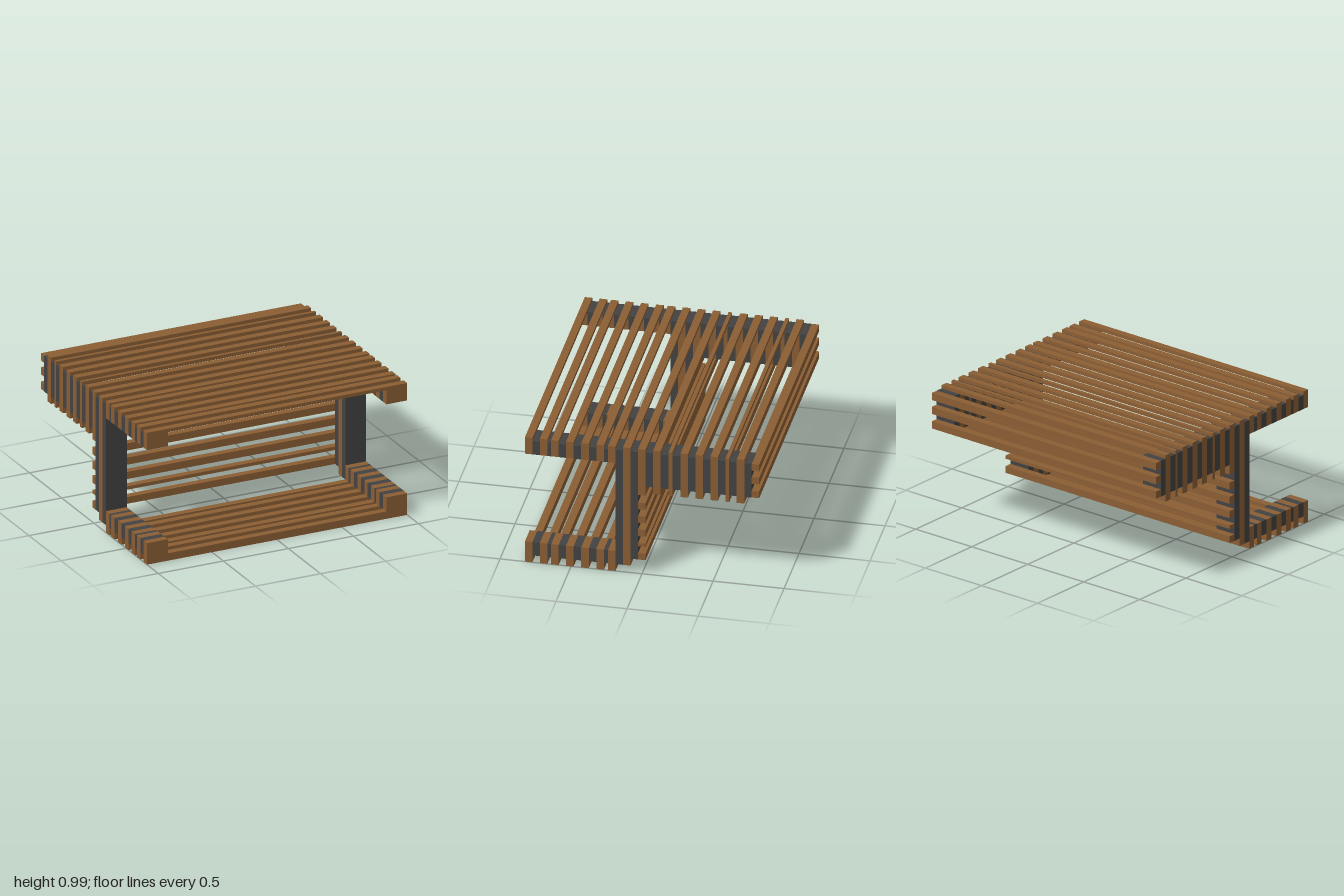
import * as THREE from 'three';

const W = 1, IN = 0.84; // outer and inner half widths

export function createModel() {
  const model = new THREE.Group();
  model.name = 'slattedBench';
  const wood = new THREE.MeshStandardMaterial({ color: 0x8b5e34, flatShading: true });
  const dark = new THREE.MeshStandardMaterial({ color: 0x424242, flatShading: true });

  const add = (geometry, material, name) => {
    const mesh = new THREE.Mesh(geometry, material);
    mesh.name = name;
    model.add(mesh);
  };
  const box = (name, material, x0, x1, y0, y1, z0, z1) => {
    const g = new THREE.BoxGeometry(x1 - x0, y1 - y0, z1 - z0);
    g.translate((x0 + x1) / 2, (y0 + y1) / 2, (z0 + z1) / 2);
    add(g, material, name);
  };
  const extrude = (name, shape, z0, z1) => {
    const g = new THREE.ExtrudeGeometry(shape, { depth: z1 - z0, bevelEnabled: false });
    g.translate(0, 0, z0);
    add(g, wood, name);
  };
  const polygon = (pts) => pts.map(([x, y]) => new THREE.Vector2(x, y));

  // U-shaped slat: a crossbar from yOuter to yBar with end legs reaching yEnd
  const bracket = (name, yOuter, yBar, yEnd, z0, z1) => extrude(name, new THREE.Shape(polygon([
    [-W, yOuter], [W, yOuter], [W, yEnd], [IN, yEnd], [IN, yBar], [-IN, yBar], [-IN, yEnd], [-W, yEnd],
  ])), z0, z1);

  // Closed rectangular slat frame
  const ring = (name, yBottom, yHole, z0, z1) => {
    const shape = new THREE.Shape(polygon([[-W, yBottom], [W, yBottom], [W, 0.985], [-W, 0.985]]));
    shape.holes.push(new THREE.Path(polygon([[-IN, yHole], [-IN, 0.96], [IN, 0.96], [IN, yHole]])));
    extrude(name, shape, z0, z1);
  };

  // Slat positions from front to back: [front z, back z]
  const slats = [
    [0.825, 0.772], [0.72, 0.667], [0.64, 0.587], [0.535, 0.482], [0.428, 0.375], [0.322, 0.269], [0.24, 0.187],
    [0.134, 0.081], [0.028, -0.025],
    [-0.078, -0.131], [-0.187, -0.213], [-0.27, -0.323], [-0.375, -0.428], [-0.481, -0.534], [-0.588, -0.614], [-0.667, -0.72],
  ];
  slats.forEach(([zf, zb], i) => {
    if (i < 7) {
      bracket('topSlat', 0.985, 0.96, 0.855, zb, zf);
      bracket('baseSlat', 0, 0.055, 0.16, zb, zf);
    } else if (i === 7) bracket('postSlat', 0.985, 0.96, 0.055, zb, zf);
    else if (i === 8) ring('backSlatFrame', 0.62, 0.693, zb, zf);
    else ring('rearSlatFrame', 0.64, 0.693, zb, zf);
  });

  // Dark spacers filling the side frames between slats
  slats.forEach(([, zf], i) => {
    const zb = i + 1 < slats.length ? slats[i + 1][0] : -0.772;
    let spans = [[0.693, 0.96]];
    if (i < 6) spans = [[0.055, 0.16], [0.855, 0.96]];
    else if (i === 6) spans = [[0.055, 0.96]];
    else if (i === 7) spans = [[0.11, 0.96]];
    for (const [y0, y1] of spans) {
      box('leftSpacer', dark, IN, W, y0, y1, zb, zf);
      box('rightSpacer', dark, -W, -IN, y0, y1, zb, zf);
    }
  });

  // Horizontal slats behind the posts
  for (const [y0, y1] of [[0.11, 0.16], [0.215, 0.24], [0.295, 0.348], [0.402, 0.455], [0.508, 0.561]]) {
    box('backSlat', wood, -W, W, y0, y1, -0.025, 0.028);
  }
  // Horizontal slats closing the rear end
  for (const [y0, y1] of [[0.695, 0.748], [0.803, 0.856], [0.907, 0.96]]) {
    box('rearSlat', wood, -W, W, y0, y1, -0.825, -0.772);
  }
  return model;
}
